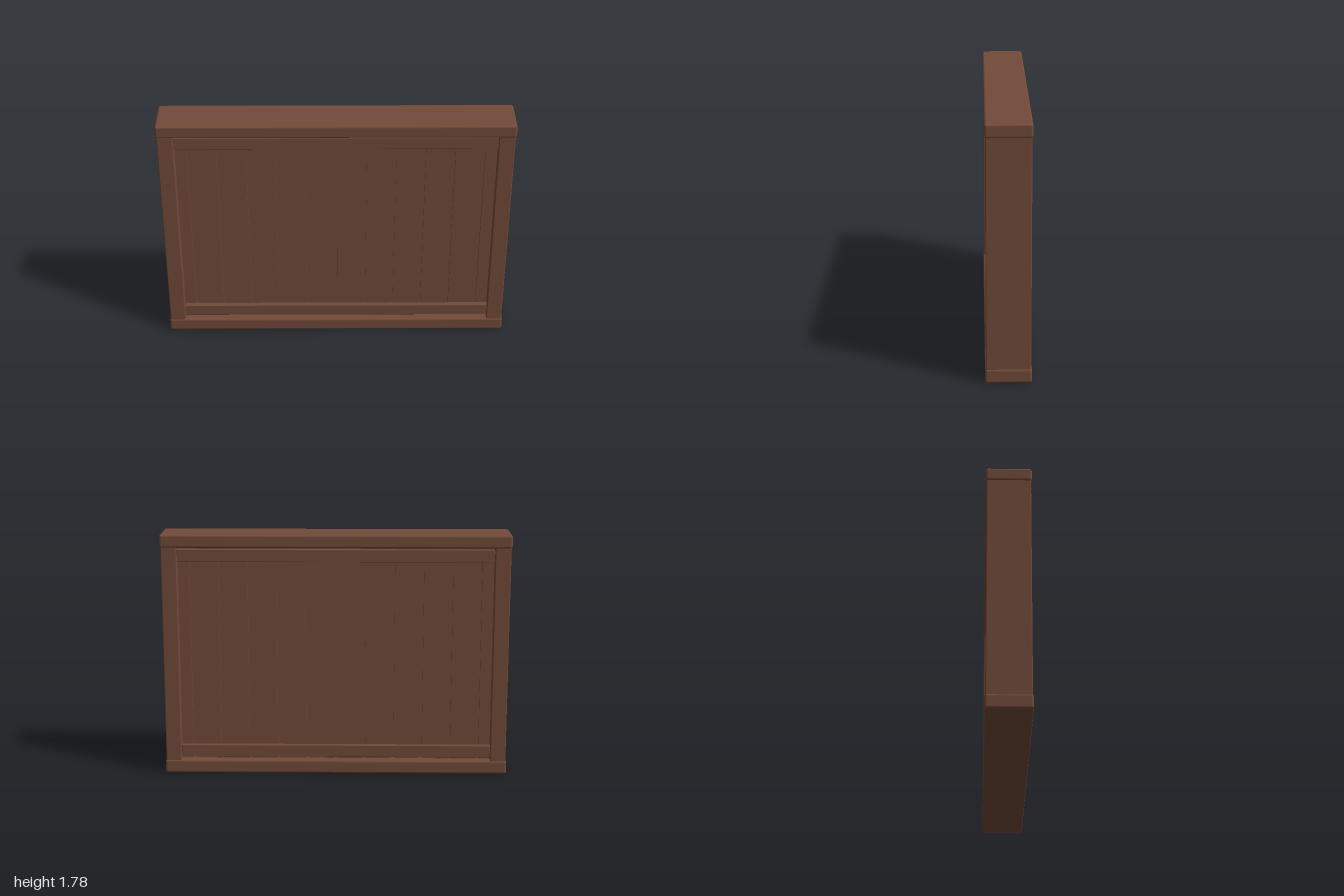
import * as THREE from 'three';
import { RoundedBoxGeometry } from 'three/addons/geometries/RoundedBoxGeometry.js';

const wood = new THREE.MeshStandardMaterial({ color: 0x734b39 });
wood.name = 'brownWood';

export function createModel() {
  const model = new THREE.Group();
  model.name = 'panelledWall';

  // The wall is built along x, then turned to stand on the diagonal
  const wall = new THREE.Group();
  wall.name = 'wall';
  wall.rotation.y = -Math.PI / 4;
  model.add(wall);

  // Box between two heights, centred on z = 0 unless given a z; r rounds the edges
  const part = (name, x0, x1, y0, y1, depth, r = 0, z = 0) => {
    const w = x1 - x0, h = y1 - y0;
    const geometry = r > 0
      ? new RoundedBoxGeometry(w, h, depth, 2, r)
      : new THREE.BoxGeometry(w, h, depth);
    const mesh = new THREE.Mesh(geometry, wood);
    mesh.name = name;
    mesh.position.set((x0 + x1) / 2, (y0 + y1) / 2, z);
    wall.add(mesh);
  };

  // Top and bottom beams
  part('bottomBeam', -1.264, 1.264, 0, 0.1, 0.316, 0.016);
  part('topBeam', -1.264, 1.264, 1.69, 1.785, 0.316, 0.016);

  // End posts, set slightly inside the beams
  part('leftPost', 1.142, 1.257, 0.09, 1.7, 0.304, 0.008);
  part('rightPost', -1.257, -1.142, 0.09, 1.7, 0.304, 0.008);

  // Core seen at the bottom of the grooves
  part('core', -1.145, 1.145, 0.09, 1.7, 0.14);

  // Planks through the whole thickness, narrow ones at both ends
  const pitch = 0.21, gap = 0.018;
  for (let i = -6; i < 6; i++) {
    const x0 = Math.max(i * pitch + gap / 2, -1.145);
    const x1 = Math.min((i + 1) * pitch - gap / 2, 1.145);
    part('plank', x0, x1, 0.09, 1.7, 0.186);
  }

  // Rails across the planks on both faces
  for (const side of [1, -1]) {
    const face = side > 0 ? 'front' : 'back';
    part(face + 'BottomRail', -1.143, 1.143, 0.118, 0.208, 0.04, 0.004, side * 0.107);
    part(face + 'TopRail', -1.143, 1.143, 1.585, 1.675, 0.04, 0.004, side * 0.107);
  }

  return model;
}
